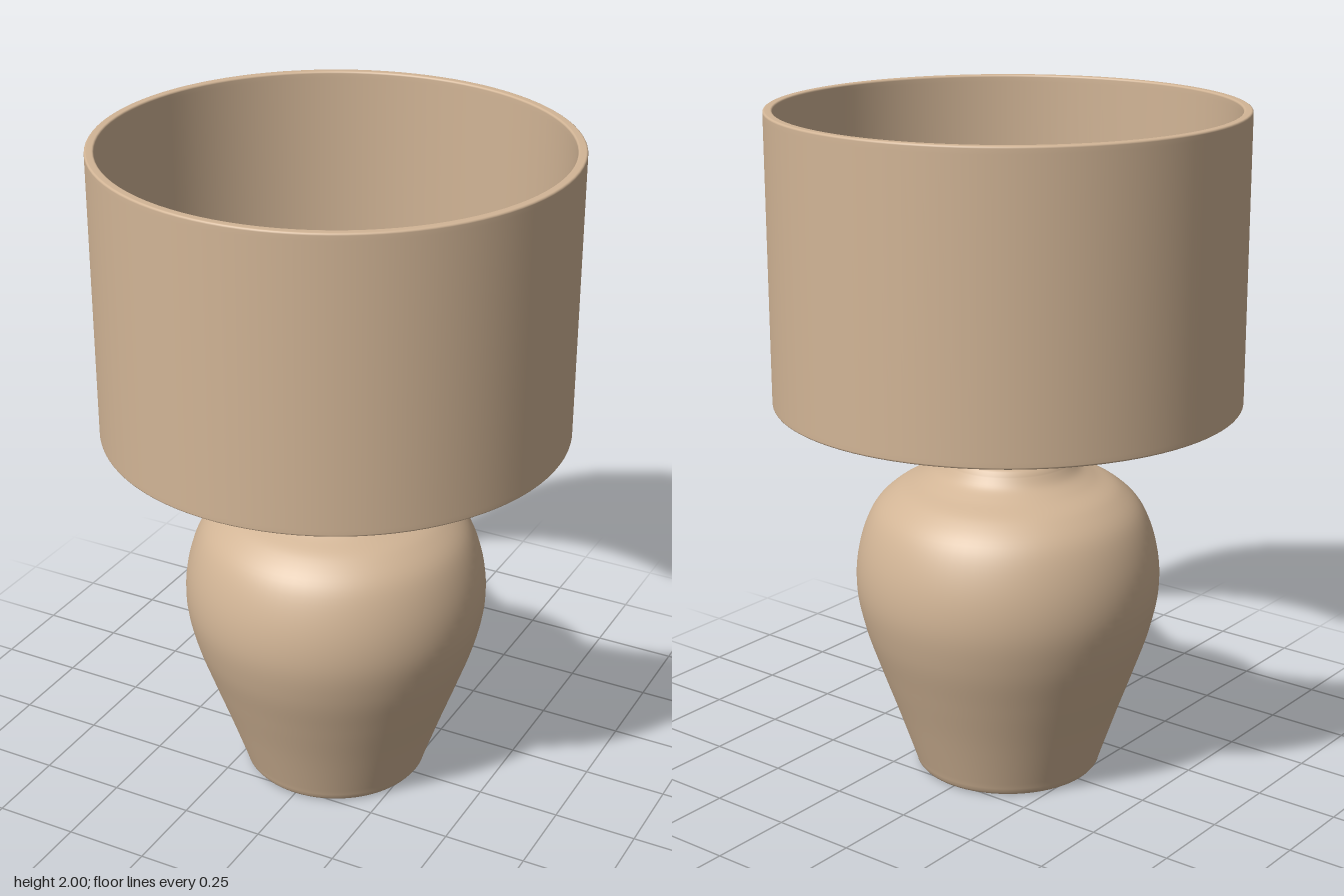
import * as THREE from 'three';

const v = (x, y) => new THREE.Vector2(x, y);

// Quarter-round edge: arc of radius r about (cx, cy), from angle a to a + 90 degrees
const arc = (cx, cy, r, a, n = 4) => Array.from({ length: n + 1 }, (_, i) => {
  const t = (a + (90 * i) / n) * Math.PI / 180;
  return v(cx + r * Math.cos(t), cy + r * Math.sin(t));
});

export function createModel() {
  const lamp = new THREE.Group();
  lamp.name = 'tableLamp';
  const beige = new THREE.MeshStandardMaterial({ color: 0xd2b596 });
  beige.name = 'beige';

  const addLathe = (name, points, segments) => {
    const mesh = new THREE.Mesh(new THREE.LatheGeometry(points, segments), beige);
    mesh.name = name;
    lamp.add(mesh);
  };

  // Vase-shaped body: flat foot, swelling belly, concave shoulder, short neck
  const side = new THREE.SplineCurve([
    v(0.282, 0.025), v(0.335, 0.18), v(0.385, 0.32), v(0.43, 0.455), v(0.453, 0.58),
    v(0.443, 0.7), v(0.402, 0.81), v(0.335, 0.876), v(0.26, 0.91), v(0.215, 0.935),
    v(0.19, 0.966),
  ]).getPoints(60);
  addLathe('body', [
    v(0, 0), v(0.25, 0), v(0.262, 0), v(0.272, 0.004), v(0.279, 0.013),
    ...side,
    v(0.184, 0.978), v(0.174, 0.984), v(0.163, 0.985), v(0.15, 0.985), v(0, 0.985),
  ], 72);

  // Stem with a softly rounded top
  addLathe('stem', [
    v(0.048, 0.97), v(0.048, 1.14), ...arc(0.038, 1.15, 0.01, 0), v(0.03, 1.16), v(0, 1.16),
  ], 32);

  // Drum shade: thin closed wall with eased rims; extra points keep the walls flat
  const outer = 0.685, inner = 0.658, low = 1.15, high = 2, r = 0.006;
  addLathe('shade', [
    v(outer - r, low),
    ...arc(outer - r, low + r, r, -90),
    v(outer, low + 0.02), v(outer, high - 0.02),
    ...arc(outer - r, high - r, r, 0),
    ...arc(inner + r, high - r, r, 90),
    v(inner, high - 0.02), v(inner, low + 0.02),
    ...arc(inner + r, low + r, r, 180),
    v(outer - r, low),
  ], 96);

  return lamp;
}
